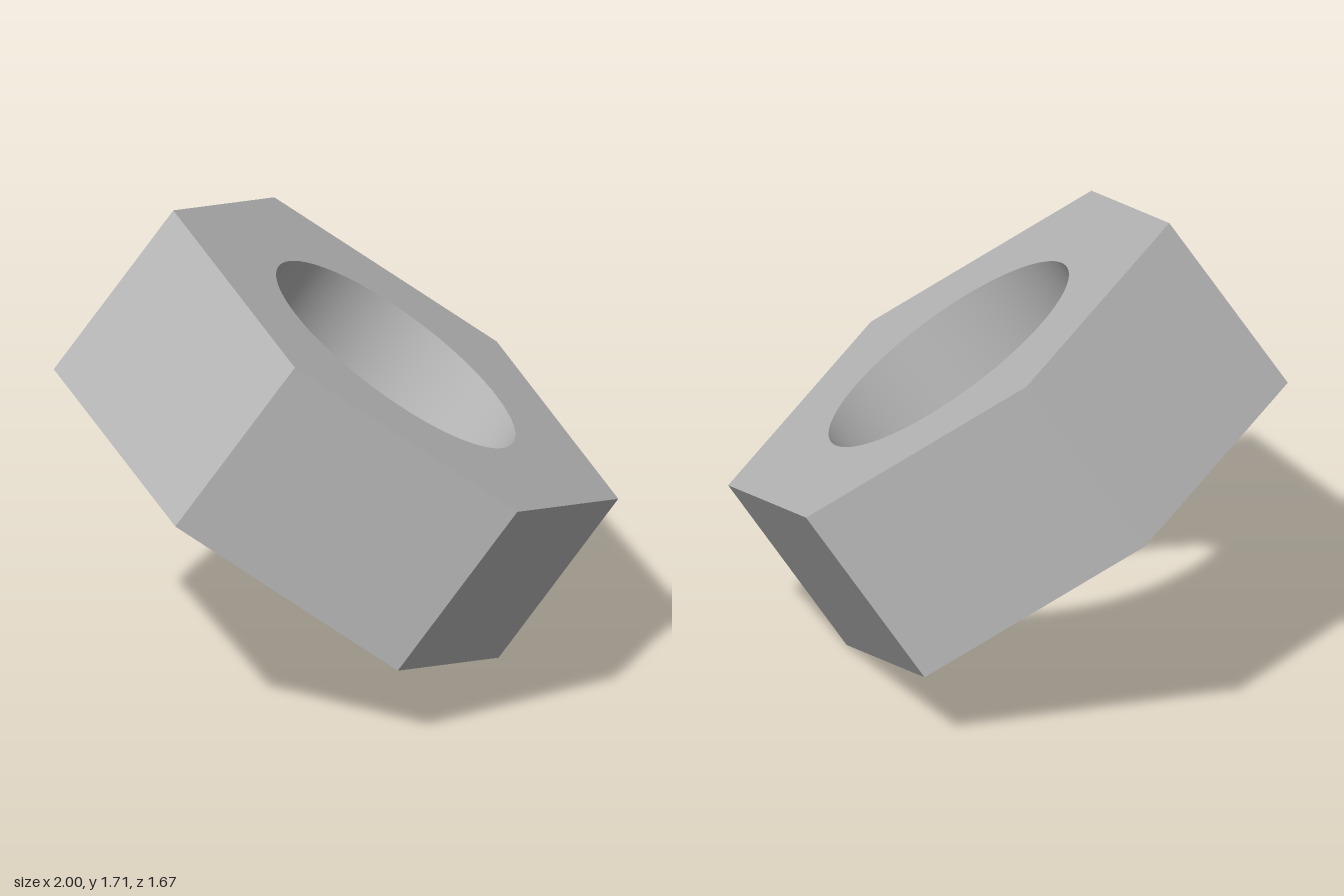
import * as THREE from 'three';
import { toCreasedNormals } from 'three/addons/utils/BufferGeometryUtils.js';

const RADIUS = 0.966; // hexagon corner radius
const BORE = 0.519;
const THICKNESS = 0.73;
const TILT = THREE.MathUtils.degToRad(35.42);

export function createModel() {
  const group = new THREE.Group();
  group.name = 'hexNut';
  const steel = new THREE.MeshStandardMaterial({ color: 0xb8b8b8 });
  steel.name = 'steel grey';

  // Hexagon outline with a round bore
  const corners = [];
  for (let i = 0; i < 6; i++) {
    const a = (i * Math.PI) / 3;
    corners.push(new THREE.Vector2(RADIUS * Math.cos(a), RADIUS * Math.sin(a)));
  }
  const outline = new THREE.Shape(corners);
  const bore = new THREE.Path();
  bore.absarc(0, 0, BORE, 0, Math.PI * 2, true);
  outline.holes.push(bore);

  // Flat outer faces, smooth bore
  let geometry = new THREE.ExtrudeGeometry(outline, {
    depth: THICKNESS, bevelEnabled: false, curveSegments: 48,
  });
  geometry.translate(0, 0, -THICKNESS / 2);
  geometry.rotateX(-Math.PI / 2);
  geometry = toCreasedNormals(geometry, 0.5);
  geometry.clearGroups();

  // Nut leaning down towards +x, resting on its lowest corner
  const nut = new THREE.Mesh(geometry, steel);
  nut.name = 'nutBody';
  nut.rotation.z = -TILT;
  nut.position.y = RADIUS * Math.sin(TILT) + (THICKNESS / 2) * Math.cos(TILT);
  group.add(nut);
  return group;
}
